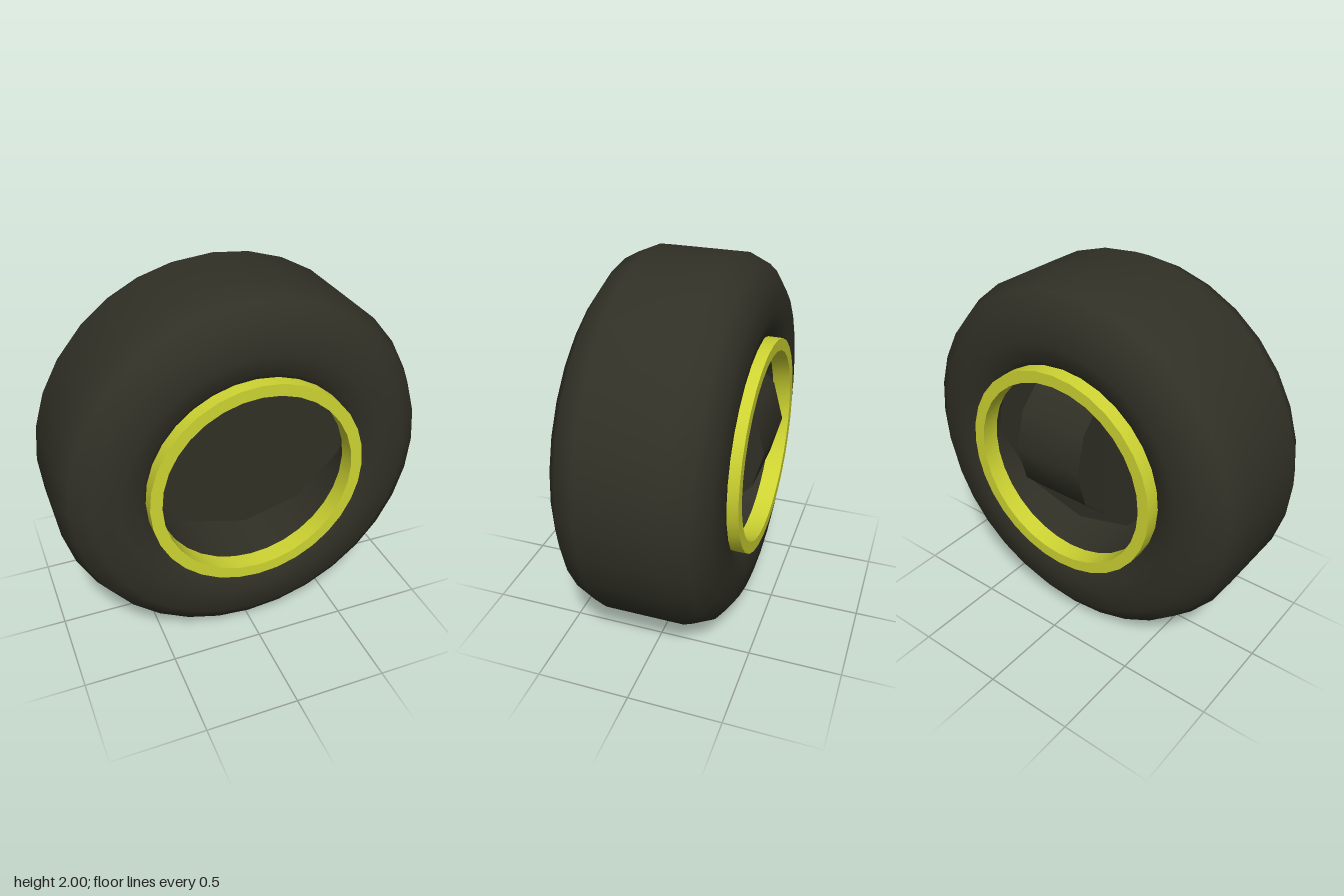
import * as THREE from 'three';
import { toCreasedNormals } from 'three/addons/utils/BufferGeometryUtils.js';

// Revolve a list of [radius, depth] points around the z axis
function revolve(points) {
  const geo = new THREE.LatheGeometry(points.map(([r, d]) => new THREE.Vector2(r, d)), 32);
  return geo.rotateX(Math.PI / 2);
}

export function createModel() {
  const group = new THREE.Group();
  const rubber = new THREE.MeshStandardMaterial({ name: 'dark rubber', color: 0x303026 });
  const yellow = new THREE.MeshStandardMaterial({ name: 'rim yellow', color: 0xced432 });

  const add = (name, geometry, material, x, y, z) => {
    const mesh = new THREE.Mesh(geometry, material);
    mesh.name = name;
    mesh.position.set(x, y, z);
    group.add(mesh);
    return mesh;
  };

  // Tyre: rounded shoulders, side walls dipping in at the rim
  const half = [[0.565, 0.36], [0.61, 0.40], [0.71, 0.42], [0.85, 0.40], [0.95, 0.33], [1, 0.215]];
  const outer = [...half.map(([r, d]) => [r, -d]), ...half.slice().reverse()];
  add('tyre', revolve(outer), rubber, 0, 1, 0.015);

  // Bore wall inside the tyre
  add('tyreBore', revolve([[0.565, 0.36], [0.565, -0.36]]), rubber, 0, 1, 0.015);

  // Rim rings, one on each side
  for (const [name, side] of [['frontRim', 1], ['backRim', -1]]) {
    const ring = revolve([[0.515, -0.05], [0.578, -0.05], [0.578, 0.05], [0.515, 0.05], [0.515, -0.05]]);
    add(name, toCreasedNormals(ring, 0.6), yellow, 0, 1, 0.0125 + side * 0.3975);
  }

  // Hub drum: a twelve-sided block set high in the bore
  const drum = new THREE.CylinderGeometry(0.64, 0.64, 0.5, 12).rotateX(Math.PI / 2);
  add('hubDrum', drum, rubber, 0, 1.27, 0);

  // Mount: half of a sideways cylinder bulging from the back of the drum
  const mount = new THREE.CylinderGeometry(0.415, 0.415, 0.4, 6, 1, false, Math.PI / 2, Math.PI);
  add('backMount', mount.rotateZ(Math.PI / 2), rubber, 0.03, 1.09, -0.052);

  return group;
}
